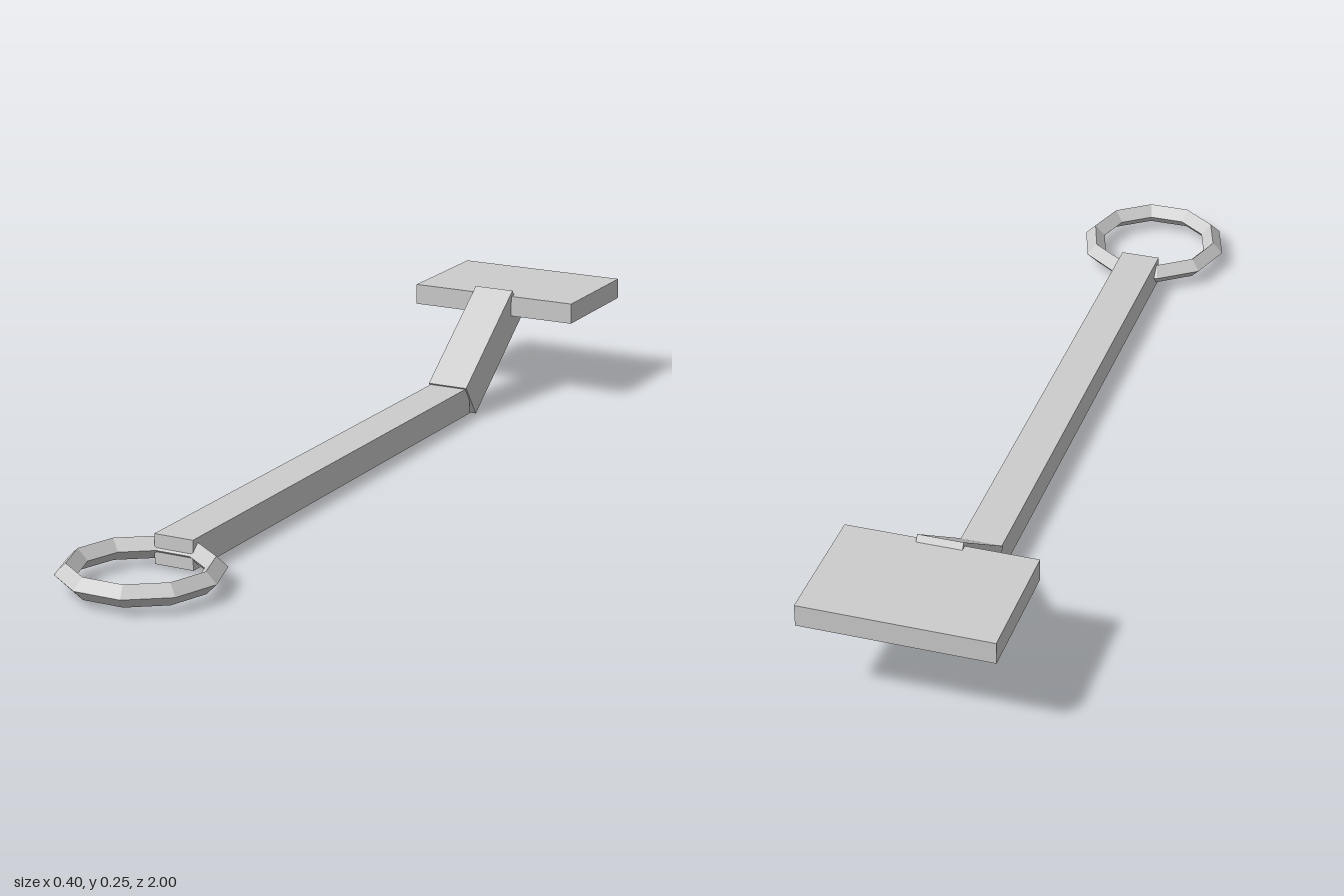
import * as THREE from 'three';

export function createModel() {
  const group = new THREE.Group();
  const metal = new THREE.MeshStandardMaterial({ color: 0xcccccc, flatShading: true });
  metal.name = 'grey metal';

  const add = (name, geometry, x, y, z, tilt = 0) => {
    const mesh = new THREE.Mesh(geometry, metal);
    mesh.name = name;
    mesh.position.set(x, y, z);
    mesh.rotation.x = tilt;
    group.add(mesh);
  };

  // Flat blade at the back
  add('blade', new THREE.BoxGeometry(0.4, 0.047, 0.275), 0, 0.2165, -0.8625);

  // Slanted neck rising from the shaft to the blade
  add('neck', new THREE.BoxGeometry(0.095, 0.09, 0.3), 0, 0.128, -0.636, THREE.MathUtils.degToRad(36));

  // Long straight shaft
  add('shaft', new THREE.BoxGeometry(0.088, 0.063, 1.235), 0, 0.0415, 0.1025);

  // Ten-sided handle ring with a diamond cross-section
  add('handleRing', new THREE.TorusGeometry(0.145, 0.023, 4, 10), 0, 0.04, 0.84, Math.PI / 2);

  return group;
}
